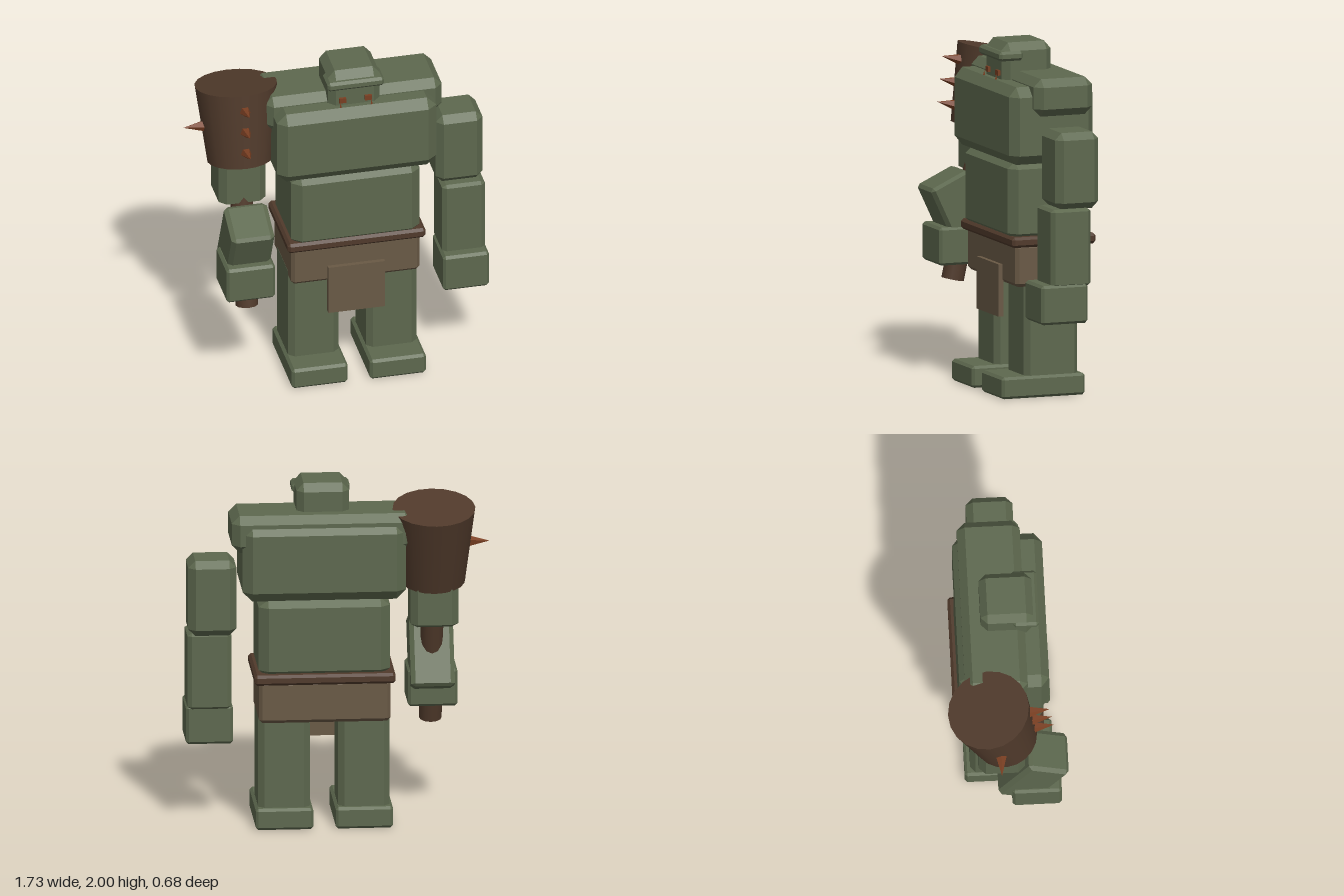
import * as THREE from 'three';
import { ConvexGeometry } from 'three/addons/geometries/ConvexGeometry.js';

const mat = (name, color, flat = false) => {
  const m = new THREE.MeshStandardMaterial({ color, flatShading: flat });
  m.name = name;
  return m;
};

// Box with chamfered edges; the chamfer may differ per axis
function chamferBox(w, h, d, bx, by, bz) {
  const x = w / 2, y = h / 2, z = d / 2, pts = [];
  for (const i of [-1, 1]) for (const j of [-1, 1]) for (const k of [-1, 1]) {
    pts.push(
      new THREE.Vector3(i * x, j * (y - by), k * (z - bz)),
      new THREE.Vector3(i * (x - bx), j * y, k * (z - bz)),
      new THREE.Vector3(i * (x - bx), j * (y - by), k * z));
  }
  return new ConvexGeometry(pts);
}

export function createModel() {
  const model = new THREE.Group();
  model.name = 'ogre';
  const skin = mat('moss green skin', 0x5d684e);
  const cloth = mat('tan cloth', 0x695945);
  const wood = mat('dark brown wood', 0x503a2b);
  const rust = mat('rust', 0x7a3f22, true);

  const add = (parent, name, geometry, material, x, y, z) => {
    const mesh = new THREE.Mesh(geometry, material);
    mesh.name = name;
    mesh.position.set(x, y, z);
    parent.add(mesh);
    return mesh;
  };
  // Chamfered block given by its extents on each axis
  const block = (name, material, [x0, x1], [y0, y1], [z0, z1], bx, by = bx, bz = bx) =>
    add(model, name, chamferBox(x1 - x0, y1 - y0, z1 - z0, bx, by, bz), material,
      (x0 + x1) / 2, (y0 + y1) / 2, (z0 + z1) / 2);

  // Head and brow
  const mid = 0.085;
  block('head', skin, [-0.065, 0.235], [1.72, 2.0], [-0.13, 0.17], 0.04, 0.045, 0.04);
  block('brow', skin, [-0.08, 0.25], [1.9, 1.955], [0.055, 0.2], 0.015);

  // Eyes and tusks
  for (const s of [-1, 1]) {
    add(model, 'eye', new THREE.BoxGeometry(0.04, 0.03, 0.02), rust, mid + s * 0.075, 1.825, 0.175);
    const tusk = add(model, 'tusk', new THREE.ConeGeometry(0.012, 0.06, 5), rust, mid + s * 0.09, 1.79, 0.195);
    tusk.rotation.x = -0.1;
  }

  // Torso
  block('shoulders', skin, [-0.42, 0.61], [1.625, 1.84], [-0.235, 0.122], 0.045);
  block('chest', skin, [-0.378, 0.55], [1.345, 1.79], [-0.265, 0.245], 0.055, 0.055, 0.045);
  block('belly', skin, [-0.288, 0.46], [0.9, 1.35], [-0.262, 0.217], 0.055, 0.04, 0.045);

  // Belt, waist cloth and front flap
  block('belt', wood, [-0.315, 0.487], [0.865, 0.925], [-0.293, 0.217], 0.015);
  block('waistCloth', cloth, [-0.288, 0.46], [0.635, 0.88], [-0.262, 0.185], 0.02);
  add(model, 'frontFlap', new THREE.BoxGeometry(0.33, 0.3, 0.03), cloth, mid, 0.59, 0.195);

  // Legs and feet
  for (const s of [-1, 1]) {
    const c = mid + s * 0.227;
    block('leg', skin, [c - 0.147, c + 0.147], [0.1, 0.7], [-0.2, 0.127], 0.035, 0.02, 0.03);
    block('foot', skin, [c - 0.163, c + 0.163], [0, 0.125], [-0.232, 0.275], 0.015);
  }

  // Left arm hanging straight
  block('leftUpperArm', skin, [0.58, 0.853], [1.125, 1.565], [-0.172, 0.093], 0.04);
  block('leftForearm', skin, [0.605, 0.855], [0.685, 1.13], [-0.117, 0.125], 0.025, 0.015, 0.02);
  block('leftFist', skin, [0.595, 0.862], [0.475, 0.7], [-0.092, 0.19], 0.015);

  // Right arm, its forearm leaning and its fist round the club
  block('rightUpperArm', skin, [-0.682, -0.41], [1.15, 1.565], [-0.172, 0.093], 0.04, 0.02, 0.04);
  const forearm = block('rightForearm', skin, [-0.67, -0.42], [0.712, 1.147], [0.016, 0.266], 0.025, 0.015, 0.02);
  forearm.rotation.x = 0.44;
  block('rightFist', skin, [-0.69, -0.408], [0.64, 0.858], [0.02, 0.3], 0.015);

  // Spiked club, origin at the middle of its top and leaning back
  const club = new THREE.Group();
  club.name = 'club';
  club.position.set(-0.545, 1.845, -0.11);
  club.rotation.x = -0.21;
  model.add(club);
  add(club, 'clubHead', new THREE.CylinderGeometry(0.235, 0.185, 0.455, 20), wood, 0, -0.2275, 0);
  add(club, 'clubHandle', new THREE.CylinderGeometry(0.065, 0.065, 0.9, 12), wood, 0, -0.885, 0);

  // Club spikes: three down the front, one at the side
  for (const y of [-0.095, -0.225, -0.355]) {
    const r = 0.235 + y * 0.11;
    const spike = add(club, 'clubSpike', new THREE.ConeGeometry(0.036, 0.13, 5), rust, 0, y, r + 0.045);
    spike.rotation.x = Math.PI / 2;
  }
  const side = add(club, 'clubSideSpike', new THREE.ConeGeometry(0.036, 0.13, 5), rust, -0.255, -0.225, 0.015);
  side.rotation.z = Math.PI / 2;

  return model;
}
